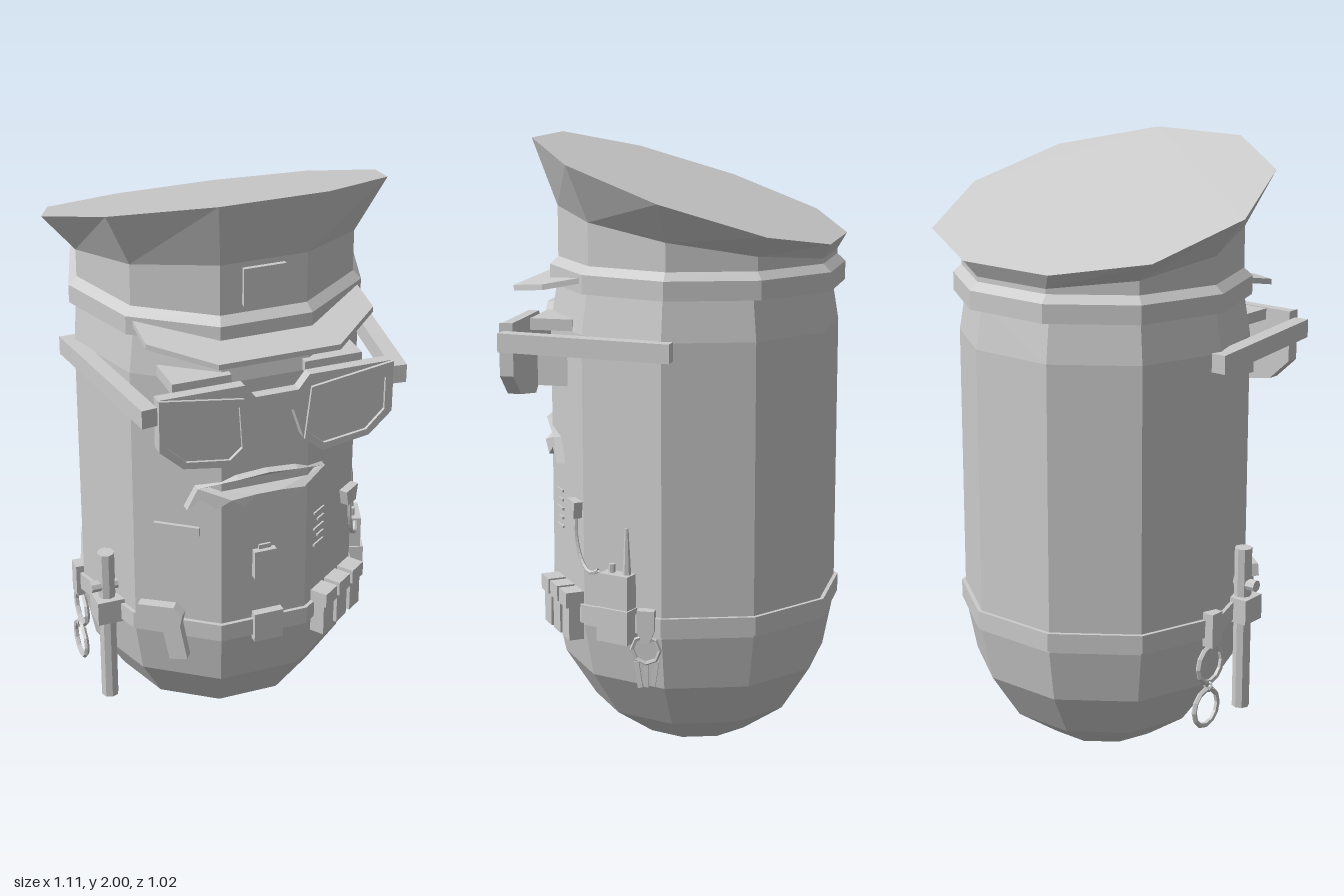
import * as THREE from 'three';

const mat = new THREE.MeshStandardMaterial({ color: 0xcccccc, flatShading: true, side: THREE.DoubleSide });
const V = (x, y, z) => new THREE.Vector3(x, y, z);
const RAD = Math.PI / 180;
const SIDES = 10, CZ = -0.045, APOTHEM = 0.447;

export function createModel() {
  const root = new THREE.Group();

  const add = (name, geo, pos = [0, 0, 0], parent = root) => {
    const m = new THREE.Mesh(geo, mat);
    m.name = name;
    m.position.set(...pos);
    parent.add(m);
    return m;
  };
  // Box from its minimum and maximum corners
  const box = (name, a, b, parent = root) =>
    add(name, new THREE.BoxGeometry(b[0] - a[0], b[1] - a[1], b[2] - a[2]),
      a.map((v, i) => (v + b[i]) / 2), parent);
  const plate = (pts, depth) => new THREE.ExtrudeGeometry(
    new THREE.Shape(pts.map(p => new THREE.Vector2(...p))), { depth, bevelEnabled: false });
  const lathe = pts => new THREE.LatheGeometry(
    pts.map(p => new THREE.Vector2(...p)), SIDES, Math.PI / SIDES);
  // Group on a body wall: local x runs along the wall, local z points outward
  const onWall = (name, deg) => {
    const g = new THREE.Group();
    g.name = name;
    g.rotation.y = deg * RAD;
    g.position.set(Math.sin(deg * RAD) * APOTHEM, 0, Math.cos(deg * RAD) * APOTHEM + CZ);
    root.add(g);
    return g;
  };

  // Ten-sided capsule body
  add('body', lathe([[0, 0.005], [0.19, 0.04], [0.335, 0.14], [0.435, 0.295], [0.47, 0.47],
    [0.47, 1.41], [0.445, 1.56]]), [0, 0, CZ]);
  add('belt', lathe([[0.46, 0.48], [0.483, 0.48], [0.483, 0.54], [0.46, 0.54]]), [0, 0, CZ]);
  box('beltBuckle', [-0.04, 0.46, 0.39], [0.06, 0.565, 0.43]);

  // Cap: rings lofted from the band up to the tilted, flaring crown
  const rings = [
    [0.43, 1, () => 1.54], [0.48, 1, () => 1.54], [0.48, 1, () => 1.6], [0.453, 1, () => 1.625],
    [0.453, 1, z => 1.715 + 0.17 * (z + 0.05)],
    [0.557, 0.95, z => 1.69 + 0.326 * (z + 0.51)],
  ];
  const pos = [], idx = [];
  rings.forEach(([r, sz, fy], k) => {
    for (let i = 0; i < SIDES; i++) {
      const a = (18 + 36 * i) * RAD;
      const z = Math.max(-0.512, -0.055 + r * sz * Math.cos(a));
      pos.push(r * Math.sin(a), fy(z), z);
      if (k) {
        const j = (i + 1) % SIDES, lo = (k - 1) * SIDES, hi = k * SIDES;
        idx.push(lo + i, lo + j, hi + j, lo + i, hi + j, hi + i);
      }
    }
  });
  const last = (rings.length - 1) * SIDES;
  for (let i = 1; i < SIDES - 1; i++) idx.push(last, last + i, last + i + 1);
  const capGeo = new THREE.BufferGeometry();
  capGeo.setAttribute('position', new THREE.Float32BufferAttribute(pos, 3));
  capGeo.setIndex(idx);
  const flatCap = capGeo.toNonIndexed();
  flatCap.computeVertexNormals();
  add('cap', flatCap);
  box('capBadge', [-0.07, 1.65, 0.35], [0.065, 1.77, 0.39]);

  // Visor: flat outline laid down and sloped forward
  const visor = plate([[-0.37, 0.23], [0.37, 0.23], [0.37, 0.36], [0.195, 0.51], [-0.195, 0.51], [-0.37, 0.36]], 0.018);
  const vp = visor.attributes.position;
  for (let i = 0; i < vp.count; i++) {
    const z = vp.getY(i);
    vp.setXYZ(i, vp.getX(i), 1.59 - (z - 0.23) * 0.2 - vp.getZ(i), z);
  }
  visor.computeVertexNormals();
  add('visor', visor);

  // Sunglasses
  const half = [[0.07, 1.395], [0.105, 1.44], [0.38, 1.44], [0.38, 1.27], [0.305, 1.2],
    [0.15, 1.175], [0.09, 1.225], [0.055, 1.33]];
  const mirrored = half.map(([x, y]) => [-x, y]).reverse();
  add('glassesFront', plate([...half, ...mirrored], 0.035), [0, 0, 0.455]);
  for (const s of [-1, 1]) {
    // Raised rim around each lens
    const rim = new THREE.Shape([[0.11, 1.4], [0.38, 1.44], [0.38, 1.27], [0.305, 1.2], [0.15, 1.175], [0.09, 1.225]]
      .map(([x, y]) => new THREE.Vector2(s * x, y)));
    rim.holes.push(new THREE.Path([[0.125, 1.375], [0.355, 1.39], [0.355, 1.28], [0.295, 1.22], [0.155, 1.2], [0.115, 1.235]]
      .map(([x, y]) => new THREE.Vector2(s * x, y))));
    add('lensRim', new THREE.ExtrudeGeometry(rim, { depth: 0.012, bevelEnabled: false }), [0, 0, 0.488]);
    const arm = plate([[s * 0.38, 0.485], [s * 0.43, 0.49], [s * 0.51, -0.08], [s * 0.46, -0.08]], 0.06);
    arm.rotateX(Math.PI / 2);
    add('glassesArm', arm, [0, 1.415, 0]);
    const sx = (a, b) => s > 0 ? [a, b] : [-b, -a];
    const [b0, b1] = sx(0.12, 0.31), [e0, e1] = sx(0.17, 0.27);
    box('eyebrow', [b0, 1.41, 0.28], [b1, 1.447, 0.42]);
    box('eye', [e0, 1.225, 0.3], [e1, 1.34, 0.41]);
  }

  // Moustache: zigzag lower edge, leaning out at the top and wrapping the face
  const tache = [[-0.245, 0.965], [-0.215, 1.045], [-0.1, 1.085], [0, 1.092], [0.1, 1.085], [0.215, 1.045], [0.245, 0.965]];
  for (let i = 1; i < 12; i++) {
    const x = 0.245 - i * 0.49 / 12;
    tache.push([x, (i % 2 ? 1.005 : 0.97) + 0.02 * (1 - Math.abs(x) / 0.245)]);
  }
  const tGeo = plate(tache, 0.035), tp = tGeo.attributes.position;
  for (let i = 0; i < tp.count; i++) {
    const x = Math.abs(tp.getX(i));
    tp.setZ(i, tp.getZ(i) + 0.4 - Math.max(0, x - 0.12) * 0.6);
  }
  tGeo.computeVertexNormals();
  add('moustache', tGeo);

  // Chest details
  box('chestCamera', [-0.04, 0.7, 0.39], [0.035, 0.8, 0.425]);
  box('cameraClip', [-0.02, 0.8, 0.39], [0.02, 0.815, 0.41]);
  const rightWall = onWall('rightWallGear', -36), leftWall = onWall('leftWallGear', 36);
  box('nameTag', [-0.075, 0.865, -0.01], [0.075, 0.895, 0.012], rightWall);
  for (let i = 0; i < 5; i++)
    box('chestStripe', [-0.1 + (i % 2) * 0.02, 0.745 + i * 0.03, -0.01], [-0.04, 0.753 + i * 0.03, 0.006], leftWall);

  // Pistol in front of the belt
  add('pistol', plate([[-0.13, 0.565], [-0.12, 0.605], [0, 0.61], [0.03, 0.585], [0.022, 0.54], [0.045, 0.42],
    [-0.015, 0.41], [-0.035, 0.51], [-0.075, 0.53], [-0.08, 0.56]], 0.035), [0, 0, 0.02], rightWall);

  // Three belt pouches with flaps
  for (const x of [-0.07, 0.017, 0.104]) {
    box('pouch', [x - 0.032, 0.42, 0], [x + 0.032, 0.57, 0.05], leftWall);
    box('pouchFlap', [x - 0.035, 0.53, 0], [x + 0.035, 0.58, 0.06], leftWall);
  }

  // Radio with antenna, cord and shoulder microphone
  const radio = onWall('radio', 72);
  box('radioBody', [-0.055, 0.49, -0.01], [0.05, 0.67, 0.05], radio);
  box('radioHolster', [-0.06, 0.45, -0.01], [0.055, 0.56, 0.06], radio);
  add('radioAntenna', new THREE.CylinderGeometry(0.006, 0.014, 0.16, 6), [0.03, 0.74, 0.02], radio);
  add('radioKnob', new THREE.CylinderGeometry(0.011, 0.011, 0.035, 6), [-0.025, 0.68, 0.02], radio);
  add('microphone', plate([[-0.025, 0.82], [0.025, 0.82], [0.037, 0.875], [-0.037, 0.875]], 0.03),
    [0.345, 0, 0.255]).rotation.y = 36 * RAD;
  add('microphoneCord', new THREE.TubeGeometry(new THREE.CatmullRomCurve3([
    V(0.36, 0.82, 0.262), V(0.365, 0.75, 0.26), V(0.385, 0.68, 0.235), V(0.415, 0.655, 0.2), V(0.43, 0.67, 0.17),
  ]), 12, 0.007, 5));

  // Key clip, ring and keys
  const clip = plate([[-0.025, 0.565], [0.03, 0.565], [0.03, 0.5], [0.015, 0.46], [-0.01, 0.46], [-0.025, 0.5]], 0.035);
  clip.rotateY(Math.PI / 2);
  add('keyClip', clip, [0.455, 0, 0.005]);
  add('keyRing', new THREE.TorusGeometry(0.045, 0.007, 5, 8), [0.475, 0.435, 0.005]).rotation.y = Math.PI / 2;
  [-0.02, 0.005, 0.028].forEach((z, i) => {
    const k = box('key', [0.456 + i * 0.01, 0.31, z - 0.008], [0.463 + i * 0.01, 0.395, z + 0.008]);
    k.rotation.x = (i - 1) * 0.15;
  });

  // Baton with side handle, in its belt holder
  add('baton', new THREE.CylinderGeometry(0.029, 0.029, 0.56, 8), [-0.445, 0.44, 0.13]);
  add('batonHandle', new THREE.CylinderGeometry(0.02, 0.02, 0.09, 8), [-0.455, 0.597, 0.13]).rotation.z = Math.PI / 2;
  box('batonHolder', [-0.49, 0.47, 0.085], [-0.39, 0.555, 0.175]);

  // Handcuffs hanging from the belt
  box('cuffStrap', [-0.495, 0.45, -0.1], [-0.455, 0.565, -0.05]);
  [[0.385, -0.08], [0.24, -0.1]].forEach(([y, z]) => {
    add('handcuff', new THREE.TorusGeometry(0.062, 0.009, 5, 12), [-0.472, y, z]).rotation.y = Math.PI / 2;
  });
  add('cuffLink', new THREE.TorusGeometry(0.016, 0.005, 4, 8), [-0.472, 0.313, -0.09]);

  return root;
}
